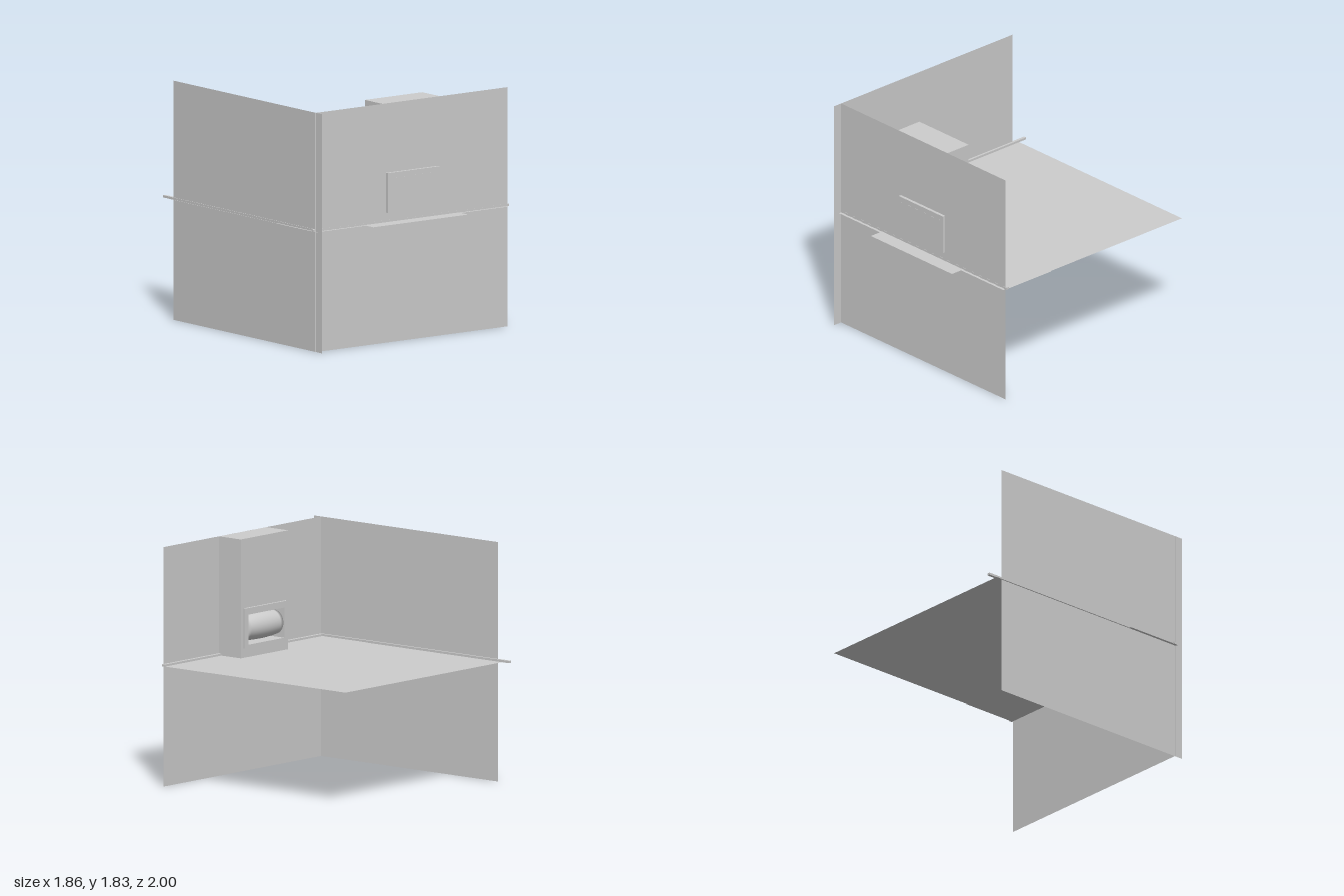
import * as THREE from 'three';

export function createModel() {
  const group = new THREE.Group();
  const grey = new THREE.MeshStandardMaterial({ color: 0xcccccc, side: THREE.DoubleSide });
  grey.name = 'plaster grey';

  const add = (name, geometry, x = 0, y = 0, z = 0) => {
    const mesh = new THREE.Mesh(geometry, grey);
    mesh.name = name;
    mesh.position.set(x, y, z);
    group.add(mesh);
    return mesh;
  };
  // box from its minimum and maximum corners
  const box = (name, a, b) => add(name,
    new THREE.BoxGeometry(b[0] - a[0], b[1] - a[1], b[2] - a[2]),
    (a[0] + b[0]) / 2, (a[1] + b[1]) / 2, (a[2] + b[2]) / 2);
  const outline = (points) => new THREE.Shape(points.map((p) => new THREE.Vector2(...p)));
  const rect = (x0, y0, x1, y1) => outline([[x0, y0], [x1, y0], [x1, y1], [x0, y1]]);
  // rectangular block with the unit's opening cut through it along z
  const pierced = (name, shape, z0, z1) => {
    shape.holes.push(rect(-0.205, 1.02, 0.21, 1.25));
    add(name, new THREE.ExtrudeGeometry(shape, { depth: z1 - z0, bevelEnabled: false }), 0, 0, z0);
  };

  // thin walls and floor
  const floorY = 0.92, wallZ = 0.883, size = 1.83;
  add('frontWall', new THREE.PlaneGeometry(size, size), 0, size / 2, wallZ);
  add('sideWall', new THREE.PlaneGeometry(size, size), -0.906, size / 2, 0.04).rotation.y = Math.PI / 2;
  add('floor', new THREE.PlaneGeometry(size, size + 0.005), 0, floorY, -0.013).rotation.x = -Math.PI / 2;

  // T-shaped floor panel running out under the front wall (shape y is -z)
  const panel = outline([[-0.925, -0.42], [-0.925, -0.885], [-0.45, -0.885], [-0.45, -1],
    [0.45, -1], [0.45, -0.885], [0.925, -0.885], [0.925, -0.42]]);
  add('floorPanel', new THREE.ShapeGeometry(panel), 0, floorY + 0.0015, 0).rotation.x = -Math.PI / 2;

  // skirting along both walls
  box('frontSkirting', [-0.93, floorY, 0.857], [0.93, 0.937, 0.884]);
  box('sideSkirting', [-0.911, floorY, -1], [-0.889, 0.937, 0.88]);

  // projecting column and the unit set through it
  pierced('column', rect(-0.273, floorY, 0.273, size), 0.665, 0.882);
  pierced('unitFrame', rect(-0.24, 0.995, 0.25, 1.3), 0.645, 0.665);
  box('unitOuterPanel', [-0.24, 0.995, 0.884], [0.25, 1.3, 0.908]);
  box('outerPanelSlot', [-0.213, 1.255, 0.907], [0.21, 1.26, 0.909]);

  // barrel-shaped drum lying in the opening
  const profile = [new THREE.Vector2(0, -0.2)];
  for (let i = 0; i <= 12; i++) {
    const t = -0.2 + i * 0.4 / 12;
    profile.push(new THREE.Vector2(0.105 - 0.3 * t * t, t));
  }
  profile.push(new THREE.Vector2(0, 0.2));
  add('drum', new THREE.LatheGeometry(profile, 40), 0.003, 1.135, 0.74).rotation.z = Math.PI / 2;

  return group;
}
